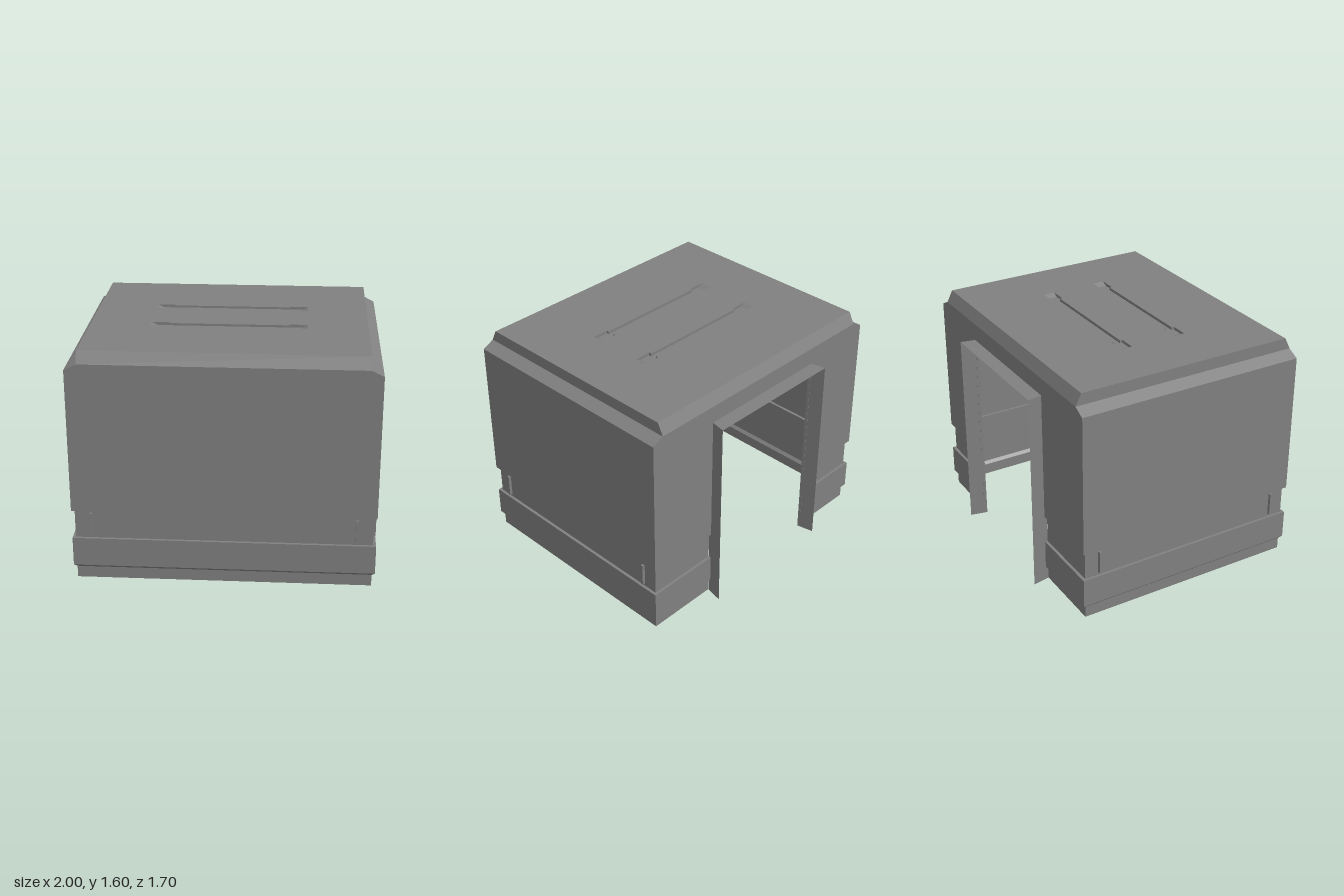
import * as THREE from 'three';

const grey = new THREE.MeshStandardMaterial({ color: 0x808080, side: THREE.DoubleSide });
grey.name = 'plain grey';

// Flat-shaded sheet made from a list of four-cornered faces
function sheet(name, quads) {
  const pos = [];
  for (const [a, b, c, d] of quads) pos.push(...a, ...b, ...c, ...a, ...c, ...d);
  const geo = new THREE.BufferGeometry();
  geo.setAttribute('position', new THREE.Float32BufferAttribute(pos, 3));
  geo.computeVertexNormals();
  const mesh = new THREE.Mesh(geo, grey);
  mesh.name = name;
  return mesh;
}

// Face standing between two plan points, from the lower row to the upper row
const panel = (p, q, P, Q) => [p, q, Q, P];

const DOOR = 0.478, DOOR_TOP = 1.4;

// Wall rows from the ground up: height, half width, front z, back z
const ROWS = [
  [0, 0.98, 0.83, -0.73], [0.08, 0.98, 0.83, -0.73],
  [0.10, 1, 0.85, -0.75], [0.30, 1, 0.85, -0.75],
  [0.30, 0.98, 0.83, -0.73], [0.50, 0.98, 0.83, -0.73],
  [0.50, 1, 0.85, -0.75], [DOOR_TOP, 1, 0.85, -0.75],
  [1.48, 1, 0.85, -0.75], [1.52, 0.92, 0.85, -0.75], [1.60, 0.92, 0.81, -0.71],
];

function walls() {
  const front = [], back = [], sides = [];
  for (let i = 0; i < ROWS.length - 1; i++) {
    const [y, w, f, b] = ROWS[i], [Y, W, F, B] = ROWS[i + 1];
    front.push(panel([-w, y, f], [w, y, f], [-W, Y, F], [W, Y, F]));
    sides.push(panel([w, y, f], [w, y, b], [W, Y, F], [W, Y, B]));
    sides.push(panel([-w, y, b], [-w, y, f], [-W, Y, B], [-W, Y, F]));
    // The back is split around the doorway
    const spans = Y <= DOOR_TOP
      ? [[w, DOOR, W, DOOR], [-DOOR, -w, -DOOR, -W]] : [[w, -w, W, -W]];
    for (const [p, q, P, Q] of spans)
      back.push(panel([p, y, b], [q, y, b], [P, Y, B], [Q, Y, B]));
  }
  return [sheet('frontWall', front), sheet('backWall', back), sheet('sideWalls', sides)];
}

// Half outline of a roof slot, mirrored to a full loop
const END = 0.04, MID = 0.0225, DEPTH = 0.02;
const half = [[-0.52, END], [-0.48, END], [-0.4, END], [-0.4, MID], [0.4, MID], [0.4, END], [0.48, END], [0.52, END]];
const outline = [...half, ...half.map(([x, z]) => [x, -z]).reverse()];
const floorY = x => 1.6 - DEPTH * Math.min(1, (0.52 - Math.abs(x)) / 0.04);

function roof() {
  const shape = new THREE.Shape([[-0.92, -0.81], [0.92, -0.81], [0.92, 0.71], [-0.92, 0.71]]
    .map(p => new THREE.Vector2(...p)));
  for (const z0 of [-0.15, 0.25])
    shape.holes.push(new THREE.Path(outline.map(([x, z]) => new THREE.Vector2(x, -z0 - z))));
  const geo = new THREE.ShapeGeometry(shape);
  geo.rotateX(-Math.PI / 2).translate(0, 1.6, 0);
  const mesh = new THREE.Mesh(geo, grey);
  mesh.name = 'roof';
  return mesh;
}

// Sunken slot with ramped wide ends and a narrow middle
function slot(z0) {
  const quads = [];
  outline.forEach(([x, z], i) => {
    const [X, Z] = outline[(i + 1) % outline.length];
    if (x === X && Math.abs(x) === 0.52) return;
    quads.push(panel([x, floorY(x), z0 + z], [X, floorY(X), z0 + Z], [x, 1.6, z0 + z], [X, 1.6, z0 + Z]));
  });
  const xs = [-0.52, -0.48, -0.4, 0.4, 0.48, 0.52];
  for (let i = 0; i < 5; i++) {
    const a = xs[i], b = xs[i + 1], h = i === 2 ? MID : END;
    quads.push([[a, floorY(a), z0 + h], [b, floorY(b), z0 + h], [b, floorY(b), z0 - h], [a, floorY(a), z0 - h]]);
  }
  return sheet('roofSlot', quads);
}

// Thin door surround, widening towards the back
function doorFrame() {
  const a = 0.476, b = 0.5, n = -0.73, f = -0.85;
  return sheet('doorFrame', [
    [[a, 0, n], [b, 0, f], [b, DOOR_TOP, f], [a, DOOR_TOP, n]],
    [[-b, 0, f], [-a, 0, n], [-a, DOOR_TOP, n], [-b, DOOR_TOP, f]],
    [[-a, DOOR_TOP, n], [a, DOOR_TOP, n], [b, DOOR_TOP, f], [-b, DOOR_TOP, f]],
  ]);
}

export function createModel() {
  const model = new THREE.Group();
  model.name = 'cabin';
  model.add(...walls(), roof(), slot(-0.15), slot(0.25), doorFrame());

  // Upright ribs in the recessed band
  const rib = (w, d, x, z) => {
    const mesh = new THREE.Mesh(new THREE.BoxGeometry(w, 0.16, d), grey);
    mesh.position.set(x, 0.4, z);
    mesh.name = 'bandRib';
    model.add(mesh);
  };
  for (const s of [-1, 1]) {
    rib(0.015, 0.02, s * 0.873, 0.84);
    for (const z of [0.725, -0.625]) rib(0.02, 0.015, s * 0.99, z);
  }
  return model;
}
